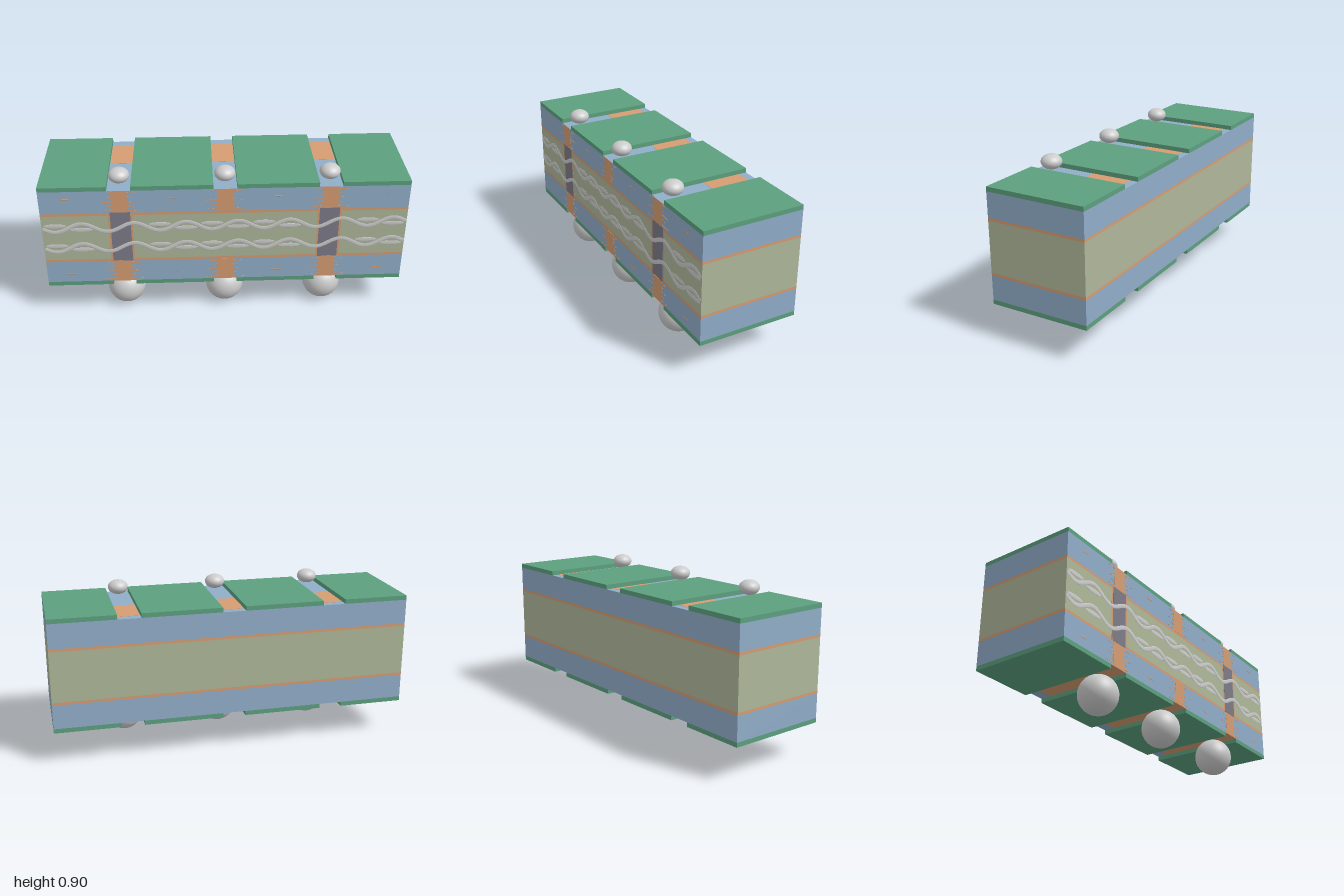
import * as THREE from 'three';

const D = 0.285; // half depth of the board
const X = [-0.57, 0, 0.57];
const mat = (color) => new THREE.MeshStandardMaterial({ color });
const M = {
  mask: mat(0x5c9f7e), resin: mat(0x90adc8), copper: mat(0xd59c72),
  core: mat(0xaeb799), plug: mat(0x7d7b88), grey: mat(0xcccccc),
};

export function createModel() {
  const model = new THREE.Group();
  const add = (name, geo, material, x = 0, y = 0, z = 0) => {
    const mesh = new THREE.Mesh(geo, material);
    mesh.name = name;
    mesh.position.set(x, y, z);
    model.add(mesh);
    return mesh;
  };
  const box = (name, m, x0, x1, y0, y1, z0 = -D, z1 = D) =>
    add(name, new THREE.BoxGeometry(x1 - x0, y1 - y0, z1 - z0), m, (x0 + x1) / 2, (y0 + y1) / 2, (z0 + z1) / 2);

  // Stacked layers
  box('lowerResin', M.resin, -1, 1, 0.222, 0.358);
  box('lowerFoil', M.copper, -1, 1, 0.358, 0.373);
  box('core', M.core, -1, 1, 0.373, 0.657);
  box('upperFoil', M.copper, -1, 1, 0.657, 0.672);
  box('upperResin', M.resin, -1, 1, 0.672, 0.81);

  // Mask strips, split by three slots
  const edges = [-1, ...X.flatMap((x) => [x - 0.064, x + 0.064]), 1];
  for (let i = 0; i < edges.length; i += 2) {
    box('lowerMask', M.mask, edges[i], edges[i + 1], 0.197, 0.222);
    box('upperMask', M.mask, edges[i], edges[i + 1], 0.81, 0.835);
  }

  // Copper via with jagged side teeth, on the front face
  const viaGeometry = (height) => {
    const teeth = [0.11, 0.075, 0.105, 0.065, 0.095];
    const right = [[0.045, 0]];
    teeth.forEach((w, i) => {
      const y = (height * (i + 0.5)) / teeth.length;
      right.push([0.043, y - 0.006], [w, y], [0.043, y + 0.006]);
    });
    right.push([0.045, height]);
    const left = right.map(([x, y]) => [-x, y]).reverse();
    const shape = new THREE.Shape([...right, ...left].map((p) => new THREE.Vector2(...p)));
    return new THREE.ExtrudeGeometry(shape, { depth: 0.001, bevelEnabled: false });
  };

  for (const x of X) {
    add('lowerVia', viaGeometry(0.136), M.copper, x, 0.222, D);
    add('upperVia', viaGeometry(0.138), M.copper, x, 0.672, D);
    // Pads on the slot floors
    box('lowerPad', M.copper, x - 0.063, x + 0.063, 0.2205, 0.23, -0.22, D);
    box('upperPad', M.copper, x - 0.063, x + 0.063, 0.80, 0.811, -0.24, -0.02);
    // Solder balls below, flattened bumps above
    add('solderBall', new THREE.SphereGeometry(0.108, 32, 20), M.grey, x, 0.108, 0.157);
    add('solderBump', new THREE.SphereGeometry(0.057, 28, 18), M.grey, x, 0.86, 0.2).scale.y = 0.72;
  }

  // Plugged through holes with copper walls
  for (const x of [X[0], X[2]]) {
    box('holeWall', M.copper, x - 0.066, x + 0.066, 0.36, 0.672, D - 0.01, D + 0.0006);
    box('holePlug', M.plug, x - 0.055, x + 0.055, 0.36, 0.677, D - 0.01, D + 0.0015);
  }

  // Small copper flecks in the resin
  for (const x of [-0.86, -0.285, 0.285, 0.86])
    for (const y of [0.275, 0.76])
      add('fleck', new THREE.SphereGeometry(0.03, 12, 8), M.copper, x, y, D).scale.set(1, 0.13, 0.04);

  // Woven glass: wavy strands with lens-shaped cross threads, almost flat on the face
  const period = 0.285;
  for (const y of [0.452, 0.582]) {
    const points = [];
    for (let i = 0; i <= 112; i++) {
      const x = -0.995 + (1.99 * i) / 112;
      points.push(new THREE.Vector3(x, 0.026 * Math.cos((2 * Math.PI * (x - 0.07)) / period), 0));
    }
    const curve = new THREE.CatmullRomCurve3(points);
    add('strand', new THREE.TubeGeometry(curve, 220, 0.012, 10), M.grey, 0, y, D + 0.0015).scale.z = 0.15;
    for (let k = -7; k <= 6; k++) {
      const x = 0.07 + (k * period) / 2;
      if (Math.abs(Math.abs(x) - 0.57) < 0.1) continue;
      const side = k % 2 === 0 ? -1 : 1; // below crests, above troughs
      add('crossThread', new THREE.SphereGeometry(0.062, 20, 12), M.grey, x, y + side * 0.013, D)
        .scale.set(1, 0.22, 0.03);
    }
  }
  return model;
}
